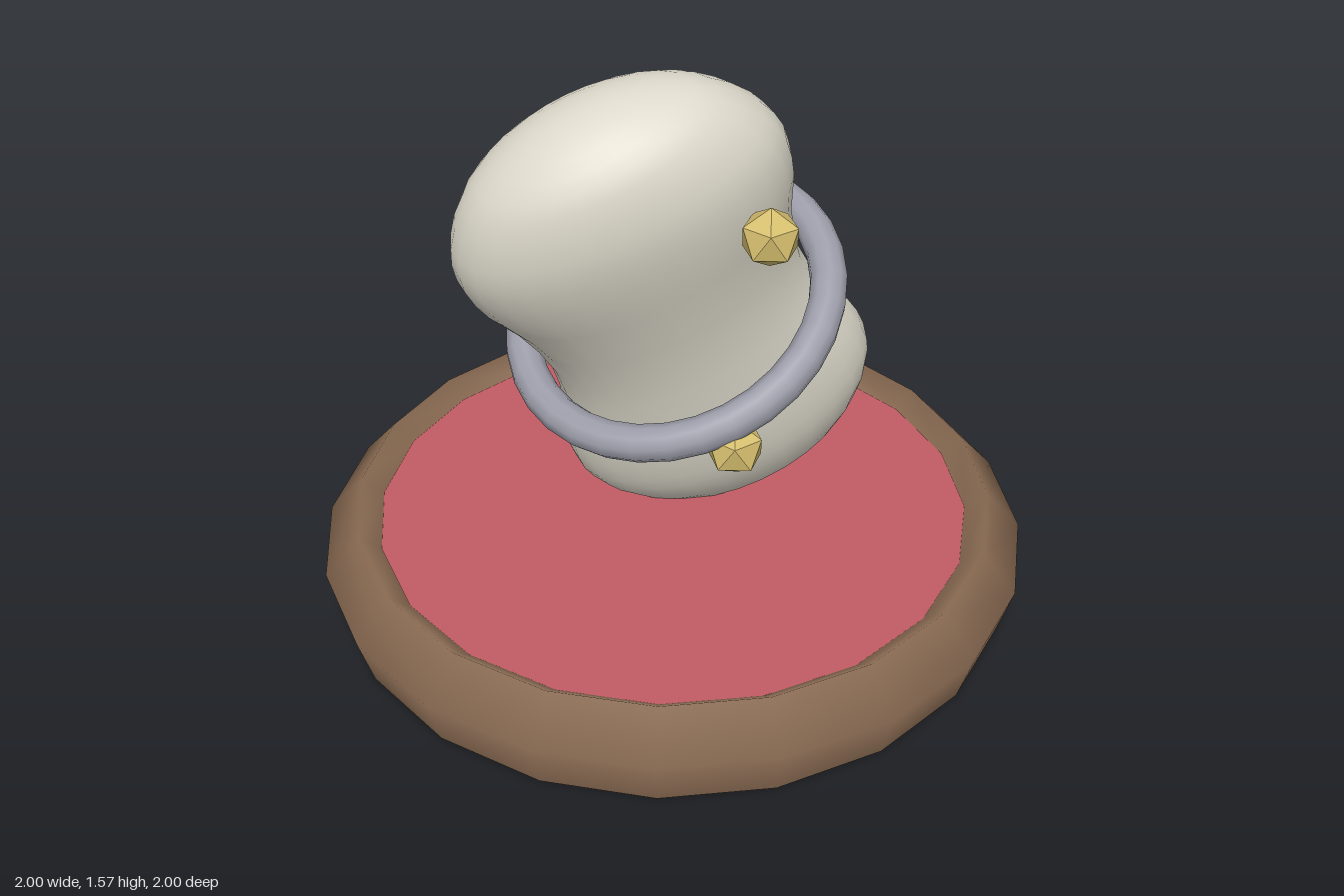
import * as THREE from 'three';
import { mergeVertices } from 'three/addons/utils/BufferGeometryUtils.js';

const material = (name, color, flatShading = false) => {
  const m = new THREE.MeshStandardMaterial({ color, flatShading });
  m.name = name;
  return m;
};

export function createModel() {
  const wood = material('brown wood', 0x866850);
  const red = material('red inlay', 0xc25c64);
  const cream = material('cream stone', 0xdcd8ca);
  const grey = material('grey metal', 0x9c9da9);
  const gold = material('gold', 0xd6bf6e, true);

  const model = new THREE.Group();
  const add = (name, geometry, mat, x = 0, y = 0, z = 0) => {
    const mesh = new THREE.Mesh(geometry, mat);
    mesh.name = name;
    mesh.position.set(x, y, z);
    model.add(mesh);
    return mesh;
  };

  // Round base: bevelled rim, underside and sunken inlay
  const rim = [[0.96, 0], [1, 0.14], [0.9, 0.25], [0.84, 0.2]].map(([r, y]) => new THREE.Vector2(r, y));
  add('baseRim', new THREE.LatheGeometry(rim, 20), wood);
  const disc = (r, turn) => new THREE.CircleGeometry(r, 20).rotateX(turn);
  add('baseUnderside', disc(0.96, Math.PI / 2), wood);
  add('baseInlay', disc(0.84, -Math.PI / 2), red, 0, 0.2, 0);

  // Waisted body: half profile of (half width, height, half thickness), mirrored top to bottom
  const half = [
    [0.37, 0, 0.225], [0.4, 0.19, 0.235], [0.44, 0.3, 0.245], [0.455, 0.42, 0.25], [0.425, 0.52, 0.24],
    [0.34, 0.63, 0.2], [0.24, 0.69, 0.145], [0.12, 0.728, 0.075], [0, 0.74, 0],
  ];
  const profile = [
    ...half.slice(1).reverse().map(([a, y, b]) => new THREE.Vector3(a, -y, b)),
    ...half.map(([a, y, b]) => new THREE.Vector3(a, y, b)),
  ];
  const pts = new THREE.CatmullRomCurve3(profile).getPoints(32);
  let body = new THREE.LatheGeometry(pts.map((p) => new THREE.Vector2(Math.max(p.x, 0), p.y)), 28);
  const pos = body.attributes.position;
  for (let i = 0; i < pos.count; i++) {
    const p = pts[i % pts.length];
    pos.setZ(i, p.x > 1e-4 ? (pos.getZ(i) * p.z) / p.x : 0);
  }
  body.deleteAttribute('uv');
  body.deleteAttribute('normal');
  body = mergeVertices(body, 1e-4);
  body.computeVertexNormals();

  // Lean the body along its own axes
  const axis = new THREE.Vector3(-0.306, 0.886, 0.347).normalize();
  const across = new THREE.Vector3().crossVectors(axis, new THREE.Vector3(0.32, -0.25, 0.91)).normalize();
  const depth = new THREE.Vector3().crossVectors(across, axis);
  add('body', body, cream, 0, 0.86, 0)
    .quaternion.setFromRotationMatrix(new THREE.Matrix4().makeBasis(across, axis, depth));

  // Tilted ring around the waist
  add('waistRing', new THREE.TorusGeometry(0.43, 0.05, 10, 32), grey, 0, 0.86, 0)
    .quaternion.setFromUnitVectors(
      new THREE.Vector3(0, 0, 1),
      new THREE.Vector3(-0.28, 0.866, 0.42).normalize(),
    );

  // Gold studs with a corner pointing up
  const stud = new THREE.IcosahedronGeometry(0.08).rotateX(-Math.atan((1 + Math.sqrt(5)) / 2));
  add('upperStud', stud, gold, 0.25, 1.22, 0.29);
  add('lowerStud', stud, gold, 0.175, 0.65, 0.365);

  return model;
}
